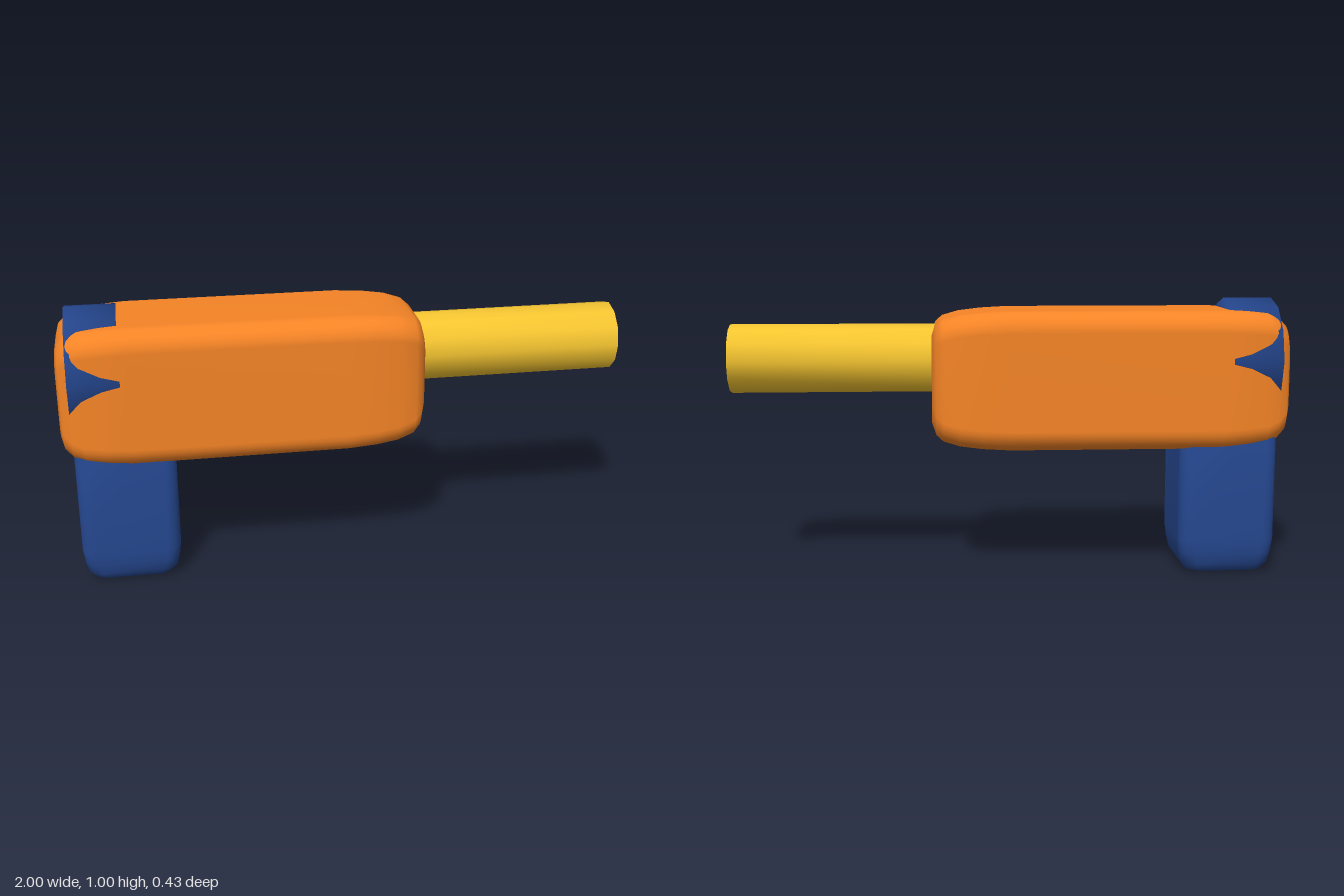
import * as THREE from 'three';
import { mergeVertices } from 'three/addons/utils/BufferGeometryUtils.js';

const paint = (color) => new THREE.MeshStandardMaterial({ color });

// Rounded rectangle outline, counter-clockwise in (u, v)
function roundedRing(halfU, halfV, radius, steps = 6) {
  const ring = [];
  [[1, 1], [-1, 1], [-1, -1], [1, -1]].forEach(([su, sv], corner) => {
    for (let k = 0; k <= steps; k++) {
      const a = (corner + k / steps) * Math.PI / 2;
      ring.push([
        su * (halfU - radius) + radius * Math.cos(a),
        sv * (halfV - radius) + radius * Math.sin(a),
      ]);
    }
  });
  return ring;
}

// Soft block: stations are [t, insetU, insetV]; place maps (t, u, v) to x, y, z
function softBlock(stations, halfU, halfV, radius, place) {
  const positions = [], index = [];
  let n = 0;
  for (const [t, iu, iv] of stations) {
    const ring = roundedRing(halfU - iu, halfV - iv, radius);
    n = ring.length;
    ring.forEach(([u, v]) => positions.push(...place(t, u, v)));
  }
  const last = (stations.length - 1) * n;
  const start = stations.length * n, end = start + 1;
  positions.push(...place(stations[0][0], 0, 0));
  positions.push(...place(stations[stations.length - 1][0], 0, 0));
  for (let j = 0; j < n; j++) {
    const k = (j + 1) % n;
    for (let i = 0; i < last; i += n) {
      index.push(i + j, i + k, i + n + k, i + j, i + n + k, i + n + j);
    }
    index.push(start, k, j, end, last + j, last + k);
  }
  const g = new THREE.BufferGeometry();
  g.setAttribute('position', new THREE.Float32BufferAttribute(positions, 3));
  g.setIndex(index);
  g.computeVertexNormals();
  return g;
}

// Twelve-sided cylinder along x with normals blended over the rims
function smoothCylinder(radius, x0, x1, y) {
  let g = new THREE.CylinderGeometry(radius, radius, x1 - x0, 12);
  g.deleteAttribute('normal');
  g.deleteAttribute('uv');
  g = mergeVertices(g);
  g.rotateZ(-Math.PI / 2);
  g.translate((x0 + x1) / 2, y, 0);
  g.computeVertexNormals();
  return g;
}

export function createModel() {
  const model = new THREE.Group();
  const orange = paint(0xf58426), blue = paint(0x25478f), yellow = paint(0xf4c430);
  const add = (name, geometry, material) => {
    const mesh = new THREE.Mesh(geometry, material);
    mesh.name = name;
    model.add(mesh);
  };

  // Main body, softened at both ends
  add('body', softBlock([
    [-1, 0.09, 0.06], [-0.99, 0.055, 0.042], [-0.96, 0.027, 0.027],
    [-0.92, 0.012, 0.015], [-0.85, 0.005, 0.006], [-0.76, 0, 0],
    [0, 0, 0], [0.1, 0.005, 0.005], [0.18, 0.014, 0.014],
    [0.24, 0.03, 0.03], [0.265, 0.05, 0.05], [0.28, 0.09, 0.08],
  ], 0.249, 0.212, 0.075, (t, u, v) => [t, 0.715 + u, v]), orange);

  // Handle, rising into the body
  add('handle', softBlock([
    [0.003, 0.06, 0.06], [0.012, 0.035, 0.035], [0.04, 0.015, 0.015],
    [0.08, 0.006, 0.006], [0.13, 0, 0], [0.7, 0, 0],
  ], 0.177, 0.176, 0.05, (t, u, v) => [-0.787 + v, t, u]), blue);

  // Rear ring poking through the body, and the barrel
  add('rearCap', smoothCylinder(0.213, -0.963, -0.787, 0.787), blue);
  add('barrel', smoothCylinder(0.124, 0.1, 1, 0.787), yellow);

  return model;
}
